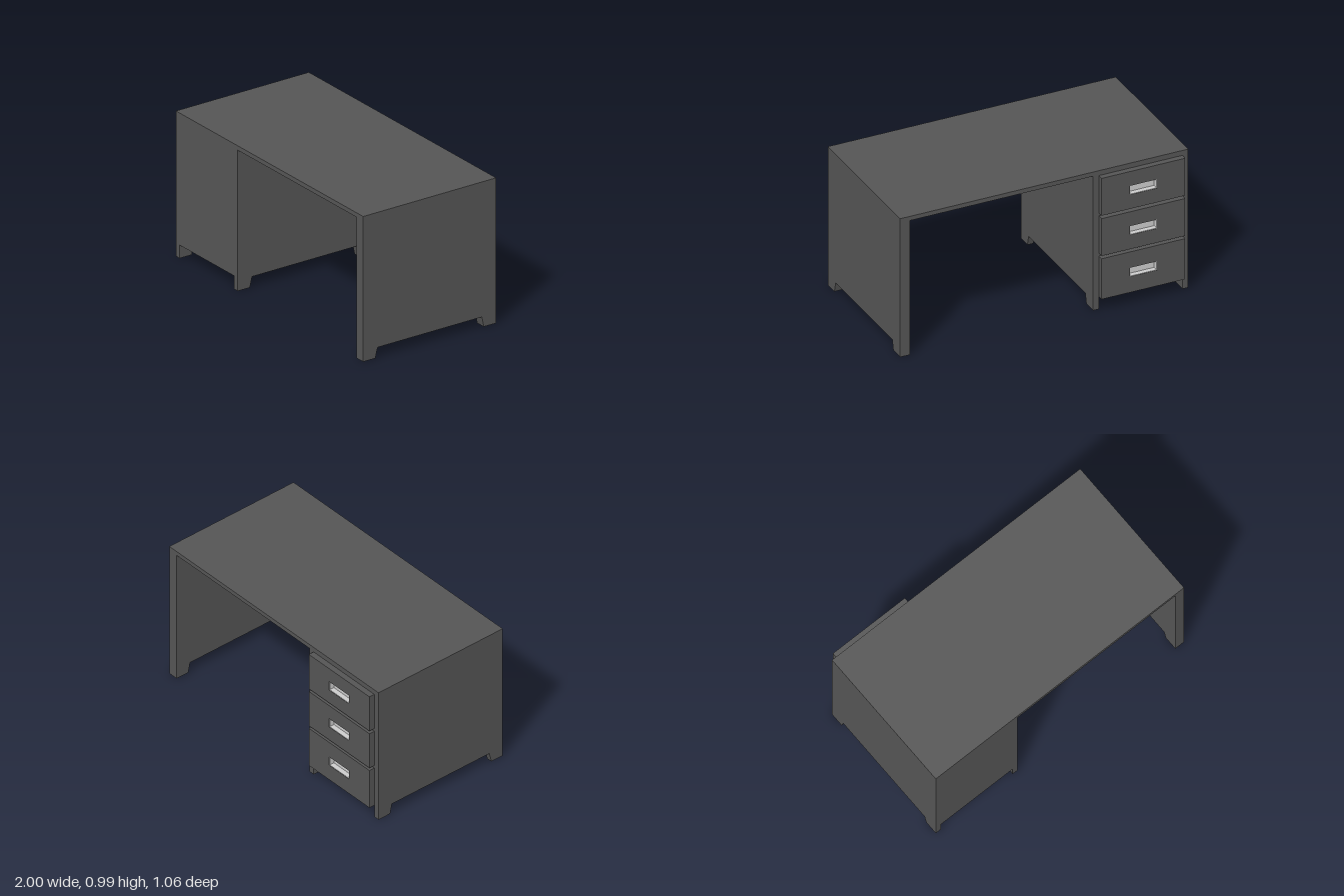
import * as THREE from 'three';

const BODY = new THREE.MeshStandardMaterial({ color: 0x555555 });
const METAL = new THREE.MeshStandardMaterial({ color: 0xcccccc });
const BACK = -0.49, FRONT = 0.53, FACE = -0.53;

function add(parent, name, geometry, material = BODY) {
  const mesh = new THREE.Mesh(geometry, material);
  mesh.name = name;
  parent.add(mesh);
  return mesh;
}

// Box given by its two opposite corners
function box(x0, x1, y0, y1, z0, z1) {
  return new THREE.BoxGeometry(x1 - x0, y1 - y0, z1 - z0)
    .translate((x0 + x1) / 2, (y0 + y1) / 2, (z0 + z1) / 2);
}

// Upright panel whose lower edge is cut away to leave two tapered feet
function sidePanel(x0, x1) {
  const shape = new THREE.Shape([
    [BACK, 0], [-0.395, 0], [-0.38, 0.07], [0.42, 0.07],
    [0.437, 0], [FRONT, 0], [FRONT, 0.96], [BACK, 0.96],
  ].map(([z, y]) => new THREE.Vector2(z, y)));
  return new THREE.ExtrudeGeometry(shape, { depth: x1 - x0, bevelEnabled: false })
    .rotateY(-Math.PI / 2).translate(x1, 0, 0);
}

// Rectangular plate with a rectangular opening, both centred
function frame(w, h, holeW, holeH, depth) {
  const rect = (a, b) => [[-a, -b], [a, -b], [a, b], [-a, b]]
    .map(([x, y]) => new THREE.Vector2(x / 2, y / 2));
  const shape = new THREE.Shape(rect(w, h));
  shape.holes.push(new THREE.Path(rect(holeW, holeH).reverse()));
  return new THREE.ExtrudeGeometry(shape, { depth, bevelEnabled: false });
}

// Drawer front with a lined, recessed pull
function drawer(y0, y1) {
  const group = new THREE.Group();
  group.name = 'drawer';
  group.position.set(-0.67, (y0 + y1) / 2, FACE);
  const w = 0.19, h = 0.065;
  add(group, 'drawerFront', frame(0.58, y1 - y0, w, h, BACK - FACE));
  add(group, 'pullLining', frame(w, h, w - 0.006, h - 0.006, 0.034).translate(0, 0, 0.002), METAL);
  add(group, 'pullBack', box(-w / 2, w / 2, -h / 2, h / 2, 0.036, 0.04), METAL);
  return group;
}

export function createModel() {
  const desk = new THREE.Group();
  desk.name = 'desk';

  add(desk, 'desktop', box(-1, 1, 0.96, 0.99, BACK, FRONT));
  add(desk, 'rightPanel', sidePanel(-1, -0.96));
  add(desk, 'innerPanel', sidePanel(-0.38, -0.34));
  add(desk, 'leftPanel', sidePanel(0.93, 1));

  // Cabinet body between the two right-hand panels
  add(desk, 'cabinet', box(-0.96, -0.38, 0.09, 0.96, BACK, FRONT));

  for (const [y0, y1] of [[0.09, 0.38], [0.4, 0.667], [0.688, 0.955]]) desk.add(drawer(y0, y1));
  return desk;
}
